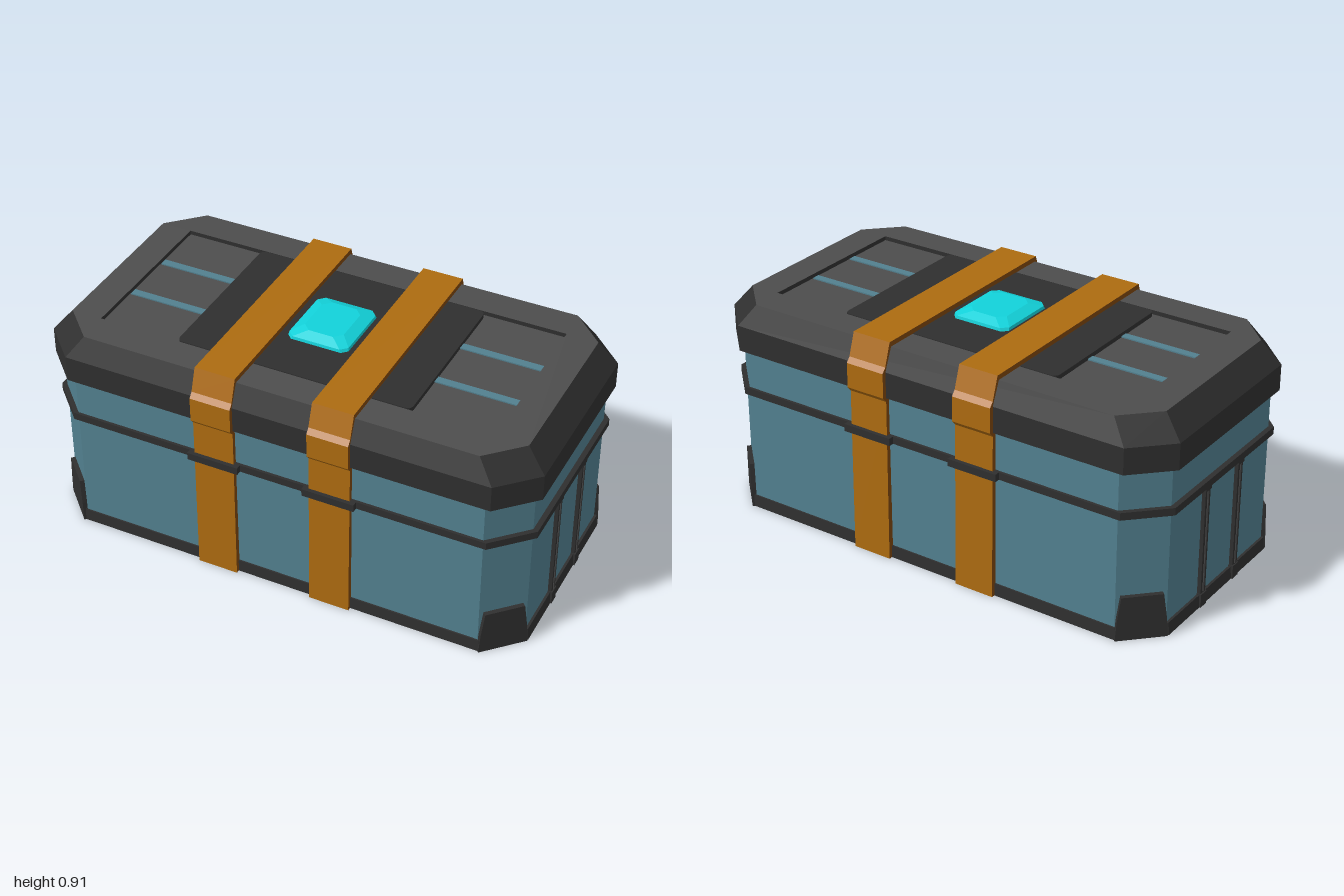
import * as THREE from 'three';

const material = (name, color) => new THREE.MeshStandardMaterial({ name, color });

// Corners of a rectangle with cut corners: half width w, half depth d, cut c
const octagon = (w, d, c) => [
  [w, -d + c], [w, d - c], [w - c, d], [-w + c, d],
  [-w, d - c], [-w, -d + c], [-w + c, -d], [w - c, -d],
];

// Flat-sided solid through cut-corner rings given as [y, w, d, c]
function loft(rings, topCap = true) {
  const pos = [];
  const loops = rings.map(([y, w, d, c]) => octagon(w, d, c).map(([x, z]) => [x, y, z]));
  const tri = (...corners) => corners.forEach((p) => pos.push(...p));
  for (let r = 0; r < loops.length - 1; r++) {
    for (let i = 0; i < 8; i++) {
      const j = (i + 1) % 8;
      const low = loops[r], high = loops[r + 1];
      tri(low[i], high[i], low[j]);
      tri(low[j], high[i], high[j]);
    }
  }
  const bottom = loops[0], top = loops[loops.length - 1];
  for (let i = 1; i < 7; i++) {
    tri(bottom[0], bottom[i], bottom[i + 1]);
    if (topCap) tri(top[0], top[i + 1], top[i]);
  }
  const geo = new THREE.BufferGeometry();
  geo.setAttribute('position', new THREE.Float32BufferAttribute(pos, 3));
  geo.computeVertexNormals();
  return geo;
}

const shapeFrom = (pts) => new THREE.Shape(pts.map(([x, y]) => new THREE.Vector2(x, y)));

function roundedRect(w, d, r) {
  const s = new THREE.Shape();
  s.moveTo(-w + r, -d);
  s.lineTo(w - r, -d); s.quadraticCurveTo(w, -d, w, -d + r);
  s.lineTo(w, d - r); s.quadraticCurveTo(w, d, w - r, d);
  s.lineTo(-w + r, d); s.quadraticCurveTo(-w, d, -w, d - r);
  s.lineTo(-w, -d + r); s.quadraticCurveTo(-w, -d, -w + r, -d);
  return s;
}

export function createModel() {
  const model = new THREE.Group();
  model.name = 'chest';

  const teal = material('teal panel', 0x52808f);
  const dark = material('dark trim', 0x2f2f2f);
  const grey = material('grey metal', 0x4d4d4d);
  const gold = material('gold strap', 0xad6b10);
  const brown = material('brown strap edge', 0x7d460d);
  const cyan = material('cyan gem', 0x12d2da);

  const add = (name, geo, mat, x = 0, y = 0, z = 0) => {
    const mesh = new THREE.Mesh(geo, mat);
    mesh.name = name;
    mesh.position.set(x, y, z);
    model.add(mesh);
    return mesh;
  };
  const box = (name, mat, w, h, d, x, y, z) =>
    add(name, new THREE.BoxGeometry(w, h, d), mat, x, y, z);
  const slab = (shape, depth) =>
    new THREE.ExtrudeGeometry(shape, { depth, bevelEnabled: false, curveSegments: 4 }).rotateX(-Math.PI / 2);

  // Body, base rim and middle band
  add('body', loft([[0.04, 0.97, 0.492, 0.135], [0.7, 0.97, 0.492, 0.135]]), teal);
  add('baseRim', loft([[0, 0.985, 0.5, 0.14], [0.05, 0.98, 0.498, 0.14]]), dark);
  add('middleBand', loft([[0.5, 0.99, 0.503, 0.14], [0.53, 0.99, 0.503, 0.14]]), dark);

  // Lid shell with sloping shoulders
  add('lid', loft([
    [0.685, 1, 0.508, 0.14], [0.79, 1, 0.508, 0.14], [0.88, 0.925, 0.47, 0.13],
  ], false), dark);

  // Lid top with a shallow rectangular recess
  const topShape = shapeFrom(octagon(0.925, 0.47, 0.13));
  topShape.holes.push(new THREE.Path([[-0.8, -0.34], [-0.8, 0.34], [0.8, 0.34], [0.8, -0.34]]
    .map(([x, y]) => new THREE.Vector2(x, y))));
  add('lidTop', slab(topShape, 0.02), [grey, dark], 0, 0.86, 0);
  box('recessFloor', grey, 1.62, 0.02, 0.7, 0, 0.853, 0);
  add('centerPanel', slab(roundedRect(0.475, 0.336, 0.025), 0.02), dark, 0, 0.861, 0);

  // Gem
  add('gem', loft([
    [0.875, 0.125, 0.143, 0.02], [0.893, 0.122, 0.14, 0.025], [0.91, 0.08, 0.1, 0.03],
  ]), cyan);

  // Strap profile in (z, y), wrapping front, top and back
  const outer = [[0.515, 0], [0.508, 0.67], [0.525, 0.69], [0.525, 0.79], [0.508, 0.81], [0.478, 0.9]];
  const inner = [[0.44, 0.85], [0.48, 0.7], [0.48, 0.1], [0.5, 0]];
  const flip = (pts) => pts.map(([z, y]) => [-z, y]).reverse();
  const strapGeo = new THREE.ExtrudeGeometry(
    shapeFrom([...outer, ...flip(outer), ...flip(inner), ...inner]),
    { depth: 0.165, bevelEnabled: false },
  ).translate(0, 0, -0.0825).rotateY(-Math.PI / 2);

  // Corner guard plate
  const guardGeo = new THREE.ExtrudeGeometry(
    shapeFrom([[-0.098, 0], [0.098, 0], [0.092, 0.08], [0.078, 0.18], [-0.078, 0.18], [-0.092, 0.08]]),
    { depth: 0.028, bevelEnabled: false },
  ).translate(0, 0, -0.01);

  for (const sx of [1, -1]) {
    add('strap', strapGeo, [brown, gold], sx * 0.2375);
    box('strapClamp', dark, 0.21, 0.03, 1.05, sx * 0.2375, 0.515, 0);

    for (const sz of [1, -1]) {
      const guard = add('cornerGuard', guardGeo, dark, sx * 0.9025, 0, sz * 0.4245);
      guard.rotation.y = Math.atan2(sx, sz);

      // Inlaid lid slots
      box('lidSlot', teal, 0.32, 0.006, 0.032, sx * 0.635, 0.865, sz * 0.115);

      // Upright bars on the ends, with feet, heads and a pale center line
      box('endBar', dark, 0.03, 0.5, 0.034, sx * 0.97, 0.25, sz * 0.12);
      box('endBarFoot', dark, 0.03, 0.055, 0.042, sx * 0.975, 0.0275, sz * 0.12);
      box('endBarHead', dark, 0.03, 0.015, 0.042, sx * 0.973, 0.4925, sz * 0.12);
      box('endBarLine', grey, 0.004, 0.43, 0.009, sx * 0.985, 0.275, sz * 0.12);
    }
  }
  return model;
}
